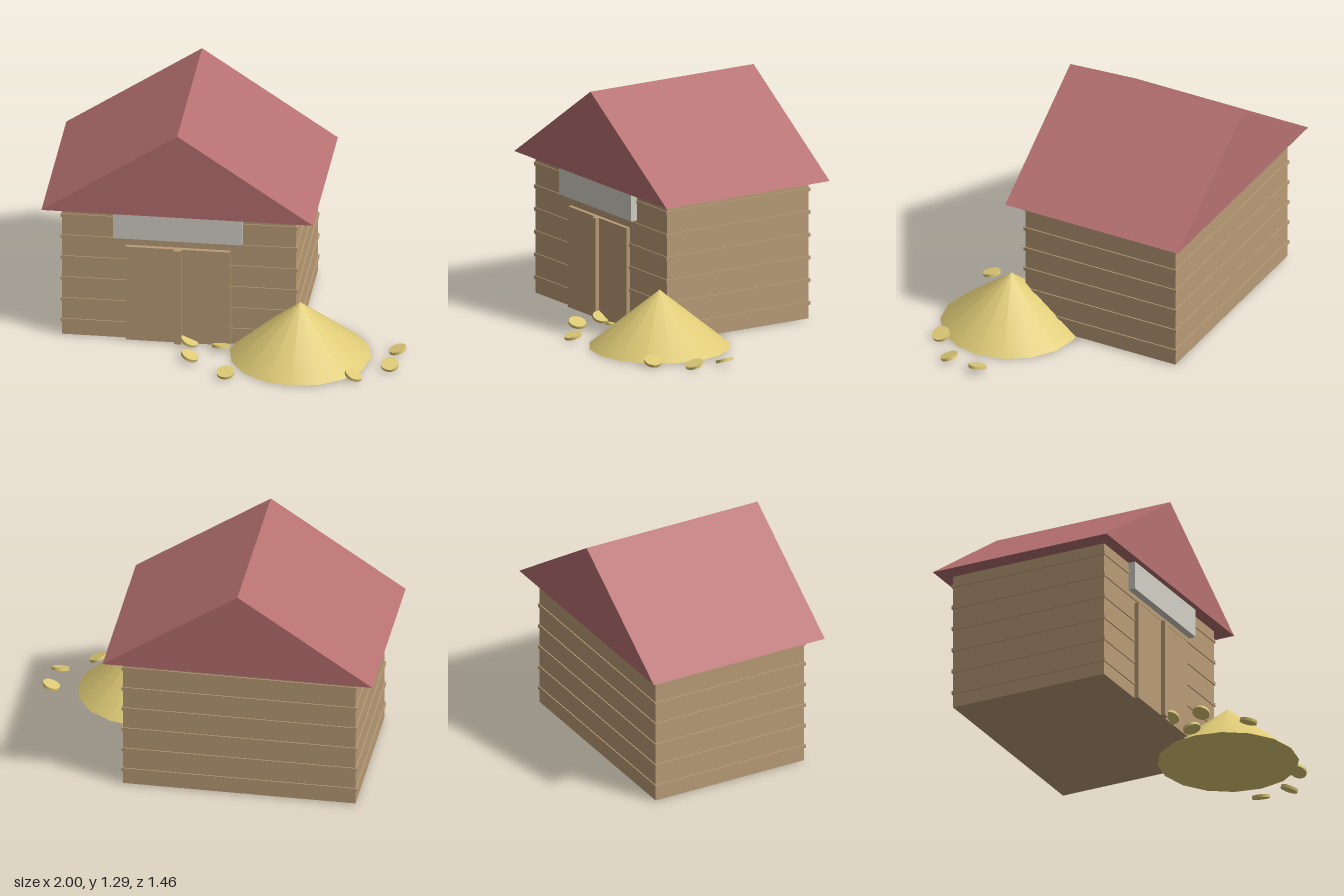
import * as THREE from 'three';

const mat = (name, color) => {
  const m = new THREE.MeshStandardMaterial({ color });
  m.name = name;
  return m;
};

export function createModel() {
  const model = new THREE.Group();
  model.name = 'grainBarn';
  const wood = mat('wood', 0xb89b76);
  const red = mat('roofRed', 0xb67070);
  const pale = mat('paleGrey', 0xd2cfc4);
  const gold = mat('gold', 0xdeca76);

  const add = (name, geometry, material, parent = model) => {
    const mesh = new THREE.Mesh(geometry, material);
    mesh.name = name;
    parent.add(mesh);
    return mesh;
  };
  // box given by its minimum and maximum corners
  const box = (name, a, b, material, parent) => {
    const size = b.map((v, i) => v - a[i]);
    const mesh = add(name, new THREE.BoxGeometry(...size), material, parent);
    mesh.position.set(...a.map((v, i) => v + size[i] / 2));
    return mesh;
  };

  // walls with raised plank bands all round
  box('walls', [-0.893, 0.015, -0.66], [0.393, 0.8, 0.27], wood);
  const bands = new THREE.Group();
  bands.name = 'plankBands';
  model.add(bands);
  for (let i = 0; i < 6; i++) {
    const y = 0.102 + i * 0.128;
    box('plankBand', [-0.9, y - 0.01, -0.666], [0.4, y + 0.01, 0.276], wood, bands);
  }

  // gable roof: solid triangular prism
  const gable = new THREE.Shape();
  gable.moveTo(-0.998, 0.8);
  gable.lineTo(0.494, 0.8);
  gable.lineTo(-0.252, 1.297);
  gable.closePath();
  const roof = add('roof', new THREE.ExtrudeGeometry(gable, { depth: 1.07, bevelEnabled: false }), red);
  roof.position.z = -0.73;

  // double doors, centre post and blank sign board
  box('leftDoor', [-0.235, 0.015, 0.26], [0.032, 0.583, 0.295], wood);
  box('rightDoor', [-0.54, 0.015, 0.26], [-0.272, 0.583, 0.295], wood);
  box('doorPost', [-0.272, 0.015, 0.26], [-0.235, 0.583, 0.317], wood);
  box('signBoard', [-0.607, 0.638, 0.26], [0.102, 0.8, 0.31], pale);

  // heap beside the door
  const heap = add('goldHeap', new THREE.ConeGeometry(0.388, 0.317, 16), gold);
  heap.position.set(0.425, 0.1715, 0.34);

  // scattered coins: x, z, tilt about x, tilt about z
  const coins = new THREE.Group();
  coins.name = 'scatteredCoins';
  model.add(coins);
  const coinGeometry = new THREE.CylinderGeometry(0.049, 0.049, 0.016, 16);
  [
    [-0.165, 0.485, 0.05, -0.4],
    [-0.19, 0.31, 0.05, -0.4],
    [0.055, 0.66, 0.25, 0.05],
    [-0.01, 0.345, -0.3, 0],
    [0.75, 0.6, 0.1, -0.4],
    [0.93, 0.45, 0.36, 0],
    [0.95, 0.265, 0.05, 0.3],
  ].forEach(([x, z, rx, rz]) => {
    const coin = add('coin', coinGeometry, gold, coins);
    coin.position.set(x, 0.036, z);
    coin.rotation.set(rx, 0, rz);
  });

  return model;
}
